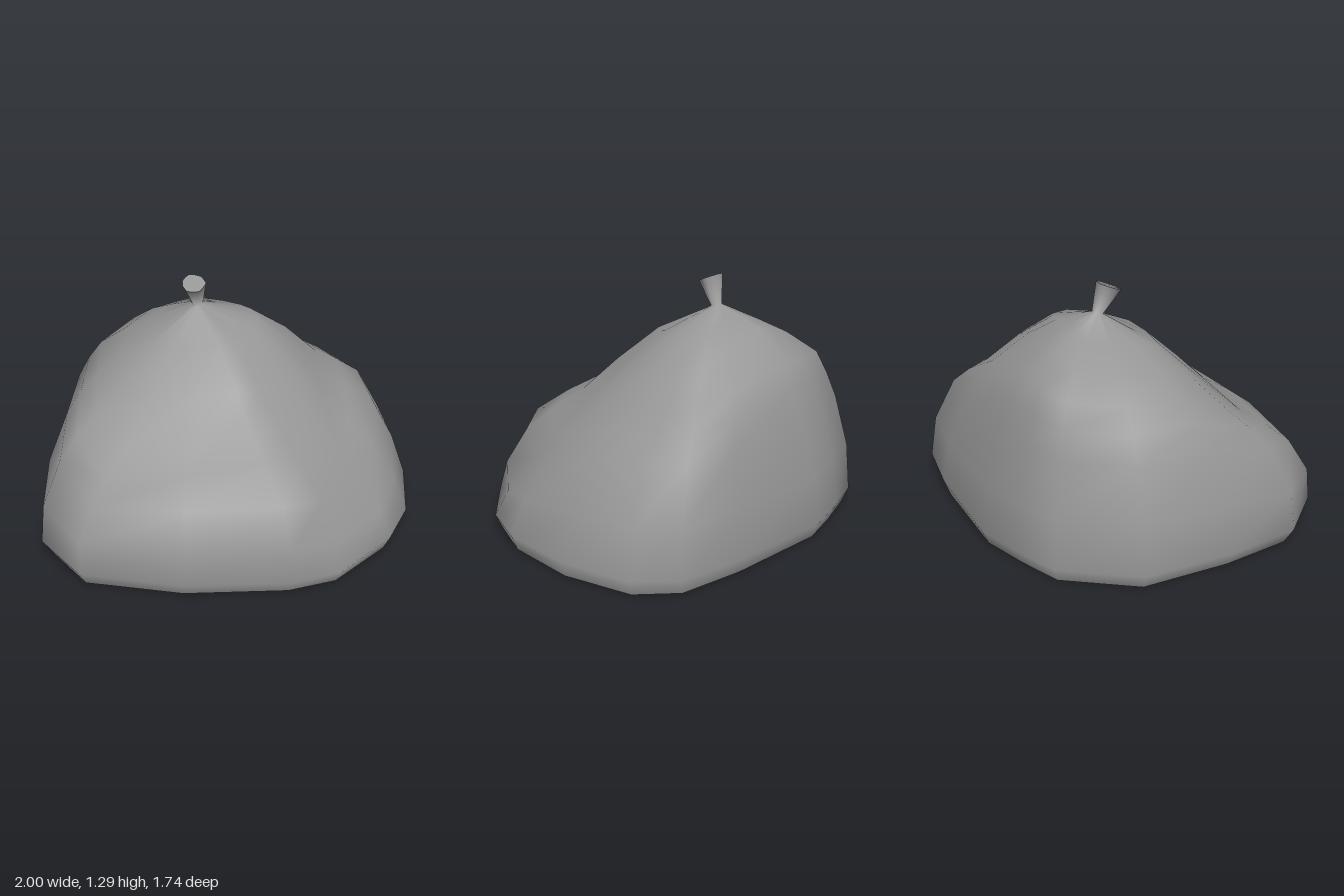
import * as THREE from 'three';

const NECK = { x: -0.17, y: 1.13, z: -0.18 };

// Widest outline of the sack as [x, z], from the left side round past the front
const OUTLINE = [
  [1, -0.2], [0.965, 0.2], [0.85, 0.46], [0.57, 0.75],
  [0.32, 0.835], [-0.22, 0.87], [-0.74, 0.79], [-0.97, 0.51],
  [-1, 0.12], [-0.965, -0.37], [-0.69, -0.715], [-0.45, -0.795],
  [-0.18, -0.865], [0.41, -0.825], [0.76, -0.755], [0.93, -0.58],
];

// Slope of the cloth in eight directions: [share of the way from neck to outline, height]
const SLOPES = [
  [[0.98, 0], [1, 0.08], [0.93, 0.31], [0.82, 0.55], [0.69, 0.65], [0.57, 0.72], [0.44, 0.9], [0.27, 1.05]],
  [[0.97, 0], [1, 0.08], [0.94, 0.21], [0.82, 0.37], [0.73, 0.5], [0.62, 0.62], [0.45, 0.81], [0.25, 1.01]],
  [[0.97, 0], [1, 0.07], [0.985, 0.25], [0.915, 0.46], [0.745, 0.59], [0.575, 0.695], [0.43, 0.85], [0.26, 1]],
  [[0.96, 0], [1, 0.08], [0.985, 0.25], [0.89, 0.42], [0.78, 0.51], [0.66, 0.59], [0.46, 0.78], [0.27, 0.97]],
  [[0.95, 0], [1, 0.08], [0.965, 0.33], [0.83, 0.61], [0.74, 0.72], [0.63, 0.81], [0.48, 0.91], [0.3, 1.01]],
  [[0.95, 0], [1, 0.08], [0.97, 0.34], [0.87, 0.62], [0.8, 0.75], [0.72, 0.87], [0.5, 0.98], [0.3, 1.05]],
  [[0.95, 0], [1, 0.08], [0.95, 0.33], [0.82, 0.64], [0.74, 0.78], [0.66, 0.9], [0.41, 1.05], [0.22, 1.1]],
  [[0.97, 0], [1, 0.08], [0.96, 0.32], [0.83, 0.58], [0.73, 0.67], [0.62, 0.75], [0.43, 0.93], [0.25, 1.06]],
];

// Smooth skin over closed rings of [x, y, z], listed bottom to top
function loft(rings) {
  const n = rings[0].length;
  const index = [];
  for (let j = 0; j < rings.length - 1; j++) {
    for (let k = 0; k < n; k++) {
      const a = j * n + k, b = j * n + (k + 1) % n;
      index.push(a, a + n, b, b, a + n, b + n);
    }
  }
  const geometry = new THREE.BufferGeometry();
  geometry.setAttribute('position', new THREE.Float32BufferAttribute(rings.flat(2), 3));
  geometry.setIndex(index);
  geometry.computeVertexNormals();
  return geometry;
}

// Hexagonal ring with one point per outline direction, its front edge dipping
function hexRing(cx, cy, cz, radius, dip) {
  const sixth = Math.PI / 3;
  return OUTLINE.map(([ox, oz]) => {
    const a = Math.atan2(oz - NECK.z, ox - NECK.x) + Math.PI * 2;
    const r = radius * Math.cos(sixth / 2) / Math.cos((a % sixth) - sixth / 2);
    return [cx + r * Math.cos(a), cy - dip * Math.sin(a), cz + r * Math.sin(a)];
  });
}

export function createModel() {
  const group = new THREE.Group();
  const material = new THREE.MeshStandardMaterial({ color: 0x969696, side: THREE.DoubleSide });
  const add = (name, geometry) => {
    const mesh = new THREE.Mesh(geometry, material);
    mesh.name = name;
    group.add(mesh);
  };

  // Slumped sack, open underneath
  const rings = SLOPES[0].map((_, level) => OUTLINE.map(([ox, oz], k) => {
    const p = SLOPES[k >> 1][level];
    const q = SLOPES[((k + 1) >> 1) % 8][level];
    const t = (p[0] + q[0]) / 2;
    return [NECK.x + (ox - NECK.x) * t, (p[1] + q[1]) / 2, NECK.z + (oz - NECK.z) * t];
  }));

  // The cloth gathers at the neck and flares into a tuft leaning forward
  const end = [-0.185, 1.268, -0.126];
  const top = hexRing(...end, 0.067, 0.025);
  rings.push(hexRing(NECK.x, NECK.y, NECK.z, 0.03, 0.008), top);
  add('sack', loft(rings));

  // Flat end of the tuft
  add('tuftEnd', loft([top, top.map(() => end)]));

  return group;
}
